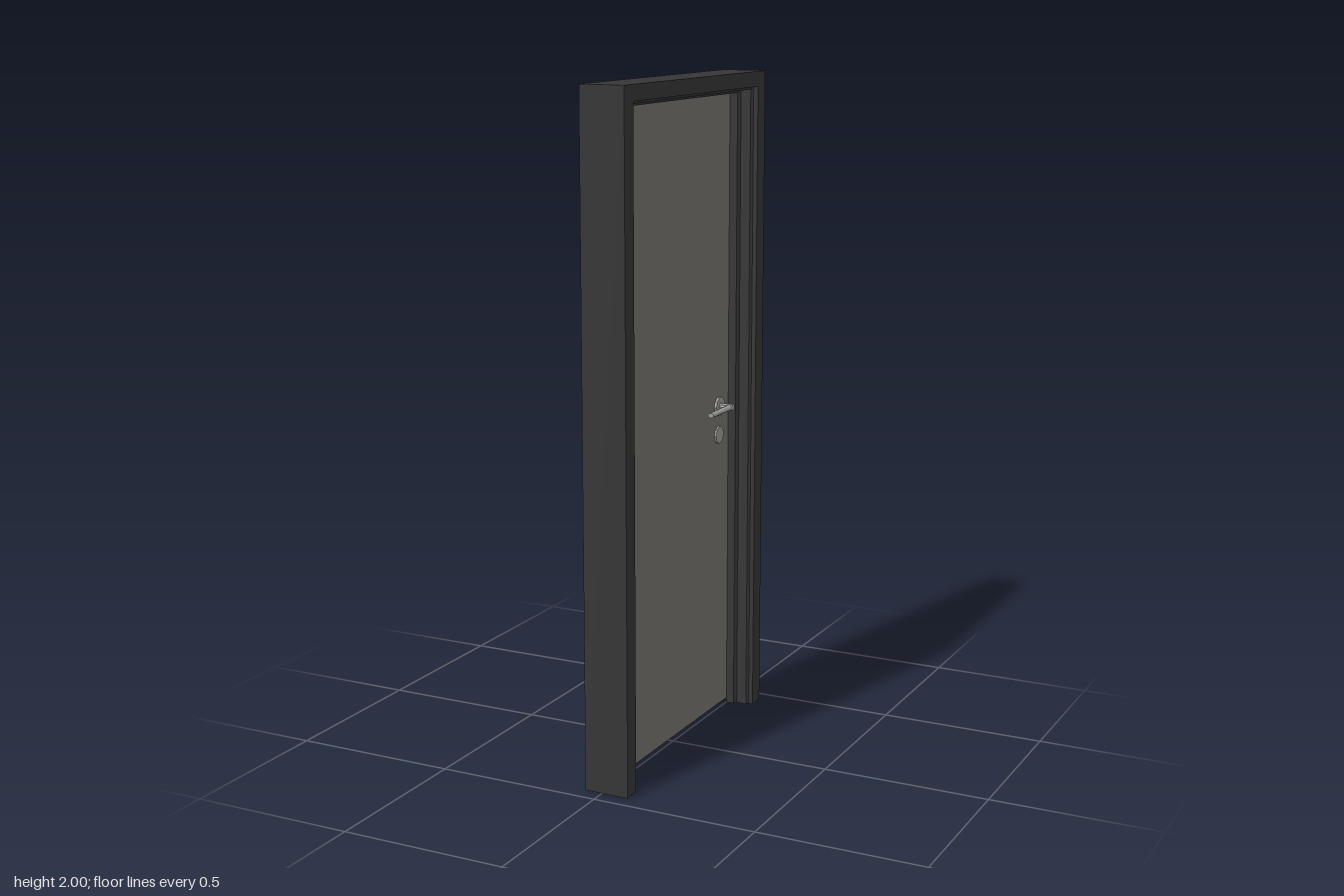
import * as THREE from 'three';

const flat = (name, color) => {
  const m = new THREE.MeshStandardMaterial({ color });
  m.name = name;
  return m;
};

// Sweep a closed profile of [x, inset] points up one jamb, over the head and down the other jamb
function portalGeometry(profile, halfWidth, height) {
  const stations = [[1, 0], [1, 1], [-1, 1], [-1, 0]];
  const point = (i, j) => {
    const [x, inset] = profile[j % profile.length];
    const [side, top] = stations[i];
    return [x, top * (height - inset * 0.87), side * (halfWidth - inset)];
  };
  const pos = [];
  const tri = (a, b, c) => pos.push(...a, ...b, ...c);
  for (let i = 0; i < 3; i++) {
    for (let j = 0; j < profile.length; j++) {
      const a = point(i, j), b = point(i, j + 1), c = point(i + 1, j + 1), d = point(i + 1, j);
      tri(a, b, c);
      tri(a, c, d);
    }
  }
  // feet of the jambs
  const outline = profile.map(([x, m]) => new THREE.Vector2(x, m));
  for (const [a, b, c] of THREE.ShapeUtils.triangulateShape(outline, [])) {
    tri(point(0, a), point(0, c), point(0, b));
    tri(point(3, a), point(3, b), point(3, c));
  }
  const geo = new THREE.BufferGeometry();
  geo.setAttribute('position', new THREE.Float32BufferAttribute(pos, 3));
  geo.computeVertexNormals();
  return geo;
}

export function createModel() {
  const frameMat = flat('charcoal frame', 0x363636);
  const doorMat = flat('warm grey door', 0x77746e);
  const metalMat = flat('brushed metal', 0x9c9c98);

  const model = new THREE.Group();
  model.name = 'door';
  const add = (parent, name, geo, mat, x = 0, y = 0, z = 0) => {
    const mesh = new THREE.Mesh(geo, mat);
    mesh.name = name;
    mesh.position.set(x, y, z);
    parent.add(mesh);
    return mesh;
  };

  // Frame with stepped inner edge and a door stop
  const profile = [
    [-0.053, 0], [0.083, 0], [0.083, 0.052], [0.07, 0.054], [0.064, 0.062],
    [0.032, 0.062], [0.026, 0.074], [0.001, 0.074], [0.001, 0.055], [-0.053, 0.055],
  ];
  add(model, 'frame', portalGeometry(profile, 0.453, 2), frameMat);

  // Door leaf closing against the stop
  add(model, 'doorLeaf', new THREE.BoxGeometry(0.036, 1.933, 0.792), doorMat, -0.018, 0.9815, 0);

  // Hinges along the edge opposite the handle
  for (const y of [0.22, 1.77]) {
    add(model, 'hinge', new THREE.CylinderGeometry(0.005, 0.005, 0.09, 8), metalMat, -0.039, y, 0.393);
  }

  // Handle set on each face
  const z = -0.31;
  const handleY = 0.985;
  for (const [name, face, s] of [['outerHandle', -0.036, -1], ['innerHandle', 0, 1]]) {
    const set = new THREE.Group();
    set.name = name;
    set.position.set(face, 0, z);
    model.add(set);

    const disc = (part, sides, radius, length, y) => {
      const mesh = add(set, part, new THREE.CylinderGeometry(radius, radius, length, sides).toNonIndexed(), metalMat, s * length / 2, y, 0);
      mesh.geometry.computeVertexNormals();
      mesh.rotation.z = Math.PI / 2;
    };
    disc('rose', 10, 0.03, 0.008, handleY);
    disc('keyCover', 8, 0.028, 0.006, 0.895);
    disc('neck', 10, 0.011, 0.05, handleY);

    // tapered lever pointing towards the middle of the leaf
    const lever = new THREE.CylinderGeometry(0.0095, 0.0115, 0.147, 10);
    lever.rotateX(Math.PI / 2);
    lever.scale(1, 0.8, 1);
    add(set, 'lever', lever, metalMat, s * 0.0395, handleY, 0.0625);
  }
  return model;
}
